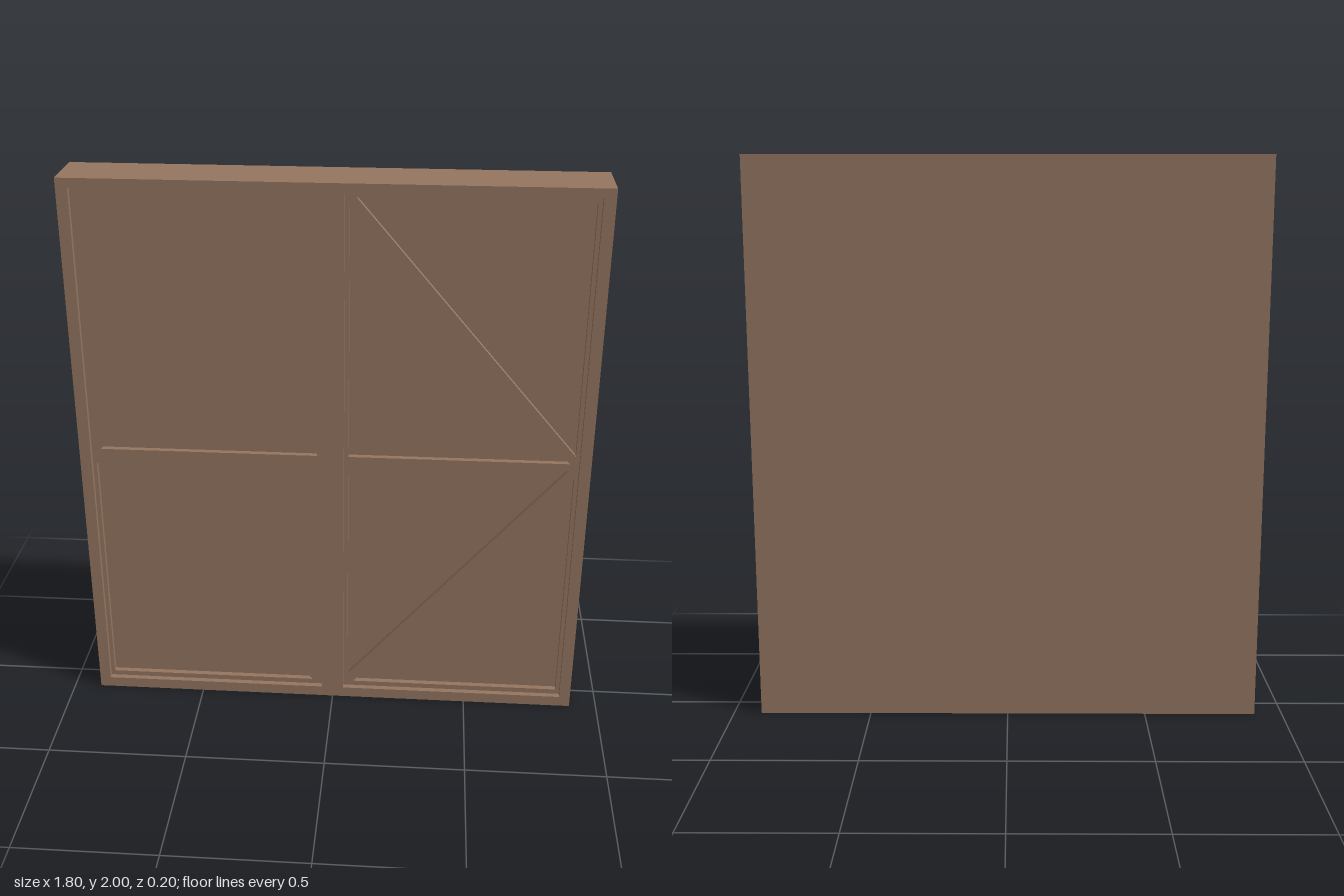
import * as THREE from 'three';

const W = 0.9, H = 2;              // half width and height
const BACK = -0.1, FACE = 0.06, LEAF = 0.08, FRONT = 0.1; // z levels
const MID = 1.004;                 // height of the middle rail

function trace(path, pts) {
  return path.setFromPoints(pts.map(([x, y]) => new THREE.Vector2(x, y)));
}

const rect = (x0, y0, x1, y1) => [[x0, y0], [x1, y0], [x1, y1], [x0, y1]];

// Flat plate with cut-outs, from the panel face up to z
function plate(outline, holes, z) {
  const shape = trace(new THREE.Shape(), outline);
  shape.holes = holes.map((h) => trace(new THREE.Path(), h));
  const geo = new THREE.ExtrudeGeometry(shape, { depth: z - FACE, bevelEnabled: false });
  return geo.translate(0, 0, FACE);
}

export function createModel() {
  const group = new THREE.Group();
  const wood = new THREE.MeshStandardMaterial({ color: 0x947660 });

  function add(name, geo) {
    const mesh = new THREE.Mesh(geo, wood);
    mesh.name = name;
    group.add(mesh);
  }

  // Solid slab behind the doors
  const slab = new THREE.BoxGeometry(2 * W, H, FACE - BACK);
  add('doorSlab', slab.translate(0, H / 2, (FACE + BACK) / 2));

  // Outer frame with the centre post
  const openings = [-1, 1].map((s) => rect(s * 0.04, 0.04, s * 0.86, 1.966));
  add('outerFrame', plate(rect(-W, 0, W, H), openings, FRONT));

  // Door leaves: thin border, middle rail and two diagonal braces
  for (const s of [-1, 1]) {
    const holes = [];
    for (const v of [-1, 1]) {
      const p = (x, dy) => [s * x, MID + v * dy];
      holes.push([p(0.846, 0.041), p(0.846, 0.945), p(0.078, 0.945)]); // outer panel
      holes.push([p(0.827, 0.013), p(0.055, 0.013), p(0.055, 0.915)]); // inner panel
    }
    const outline = rect(s * 0.04, 0.04, s * 0.86, 1.966);
    add(s > 0 ? 'leftDoorBracing' : 'rightDoorBracing', plate(outline, holes, LEAF));
  }
  return group;
}
